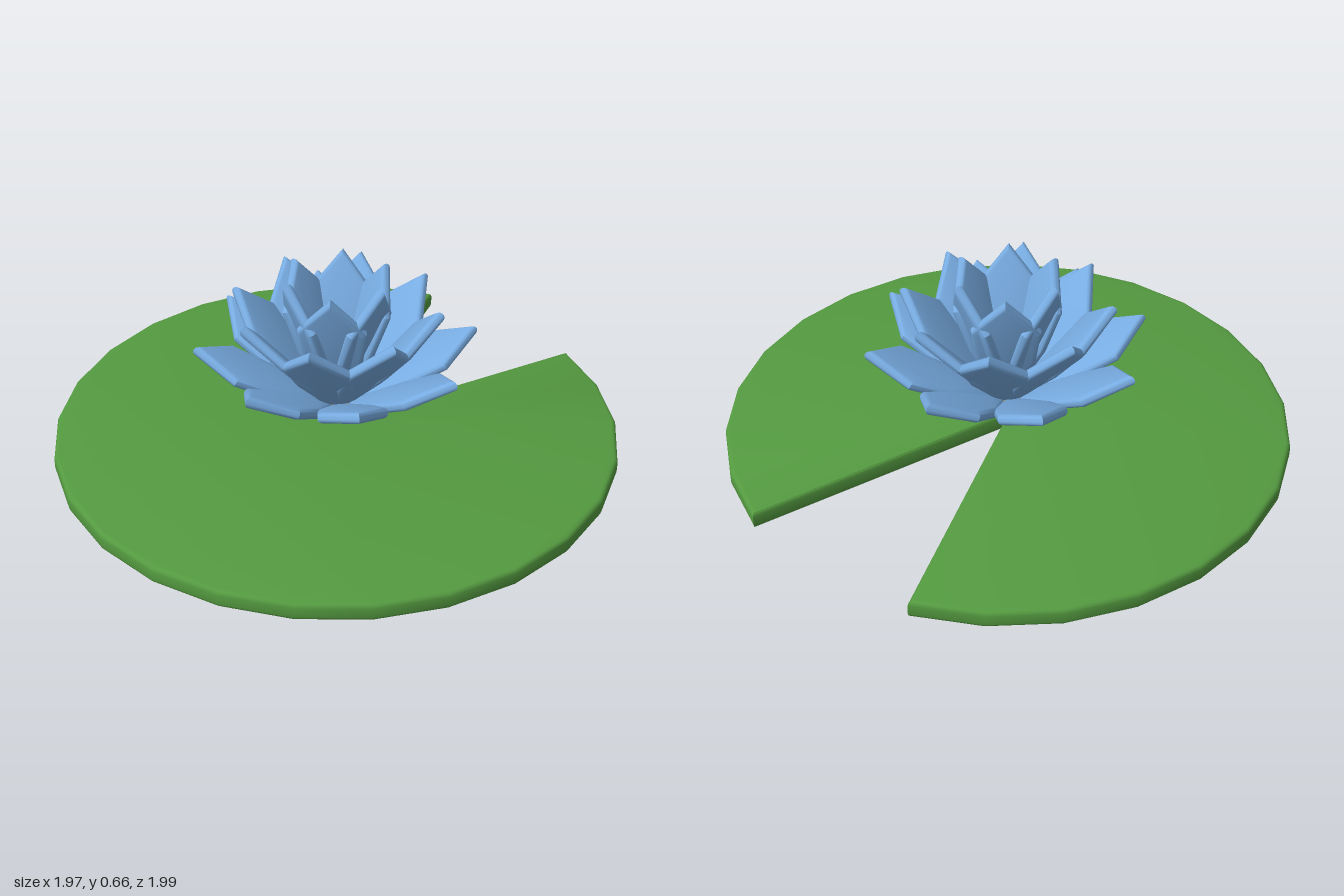
import * as THREE from 'three';
import { toCreasedNormals } from 'three/addons/utils/BufferGeometryUtils.js';

const rad = THREE.MathUtils.degToRad;

// Bevelled slab whose outline keeps its size, centred on its thickness
function slab(points, thickness, bevel) {
  const shape = new THREE.Shape(points.map(([x, y]) => new THREE.Vector2(x, y)));
  const geo = new THREE.ExtrudeGeometry(shape, {
    depth: thickness - 2 * bevel,
    bevelThickness: bevel, bevelSize: bevel, bevelOffset: -bevel, bevelSegments: 3,
  });
  geo.translate(0, 0, bevel - thickness / 2);
  return toCreasedNormals(geo, rad(35));
}

export function createModel() {
  const padGreen = new THREE.MeshStandardMaterial({ color: 0x549a40 });
  const petalBlue = new THREE.MeshStandardMaterial({ color: 0x78ace2 });
  const heartYellow = new THREE.MeshStandardMaterial({ color: 0xdcb050 });
  padGreen.name = 'padGreen';
  petalBlue.name = 'petalBlue';
  heartYellow.name = 'heartYellow';

  const model = new THREE.Group();
  model.name = 'waterLily';

  // Floating leaf: a faceted disc with a wedge cut out towards +x
  const outline = [[0, 0]];
  const sides = 23;
  for (let i = 0; i <= sides; i++) {
    const a = rad(13.7 + (321 * i) / sides);
    outline.push([Math.cos(a), Math.sin(a)]);
  }
  const padGeo = slab(outline, 0.066, 0.016);
  padGeo.rotateX(-Math.PI / 2);
  const pad = new THREE.Mesh(padGeo, padGreen);
  pad.name = 'lilyPad';
  pad.position.set(0.004, 0.033, 0);
  model.add(pad);

  // Flower: three rings of the same petal, steeper towards the middle
  const flower = new THREE.Group();
  flower.name = 'flower';
  flower.position.x = 0.007;
  model.add(flower);

  const petalGeo = slab([
    [-0.03, 0.08], [0.03, 0.08], [0.1, 0.26], [0.118, 0.42],
    [0, 0.572], [-0.118, 0.42], [-0.1, 0.26],
  ], 0.038, 0.017);

  const rings = [
    { name: 'outerPetal', count: 8, tilt: 30, turn: 0 },
    { name: 'middlePetal', count: 8, tilt: 50, turn: 22.5 },
    { name: 'innerPetal', count: 6, tilt: 71, turn: 0 },
  ];
  for (const { name, count, tilt, turn } of rings) {
    for (let i = 0; i < count; i++) {
      const petal = new THREE.Mesh(petalGeo, petalBlue);
      petal.name = name;
      petal.rotation.set(rad(90 - tilt), rad(turn + (360 * i) / count), 0, 'YXZ');
      petal.position.y = 0.12;
      flower.add(petal);
    }
  }

  // Heart of the flower
  const heart = new THREE.Mesh(new THREE.SphereGeometry(0.085, 6, 6), heartYellow);
  heart.name = 'flowerHeart';
  heart.position.y = 0.19;
  flower.add(heart);

  return model;
}
